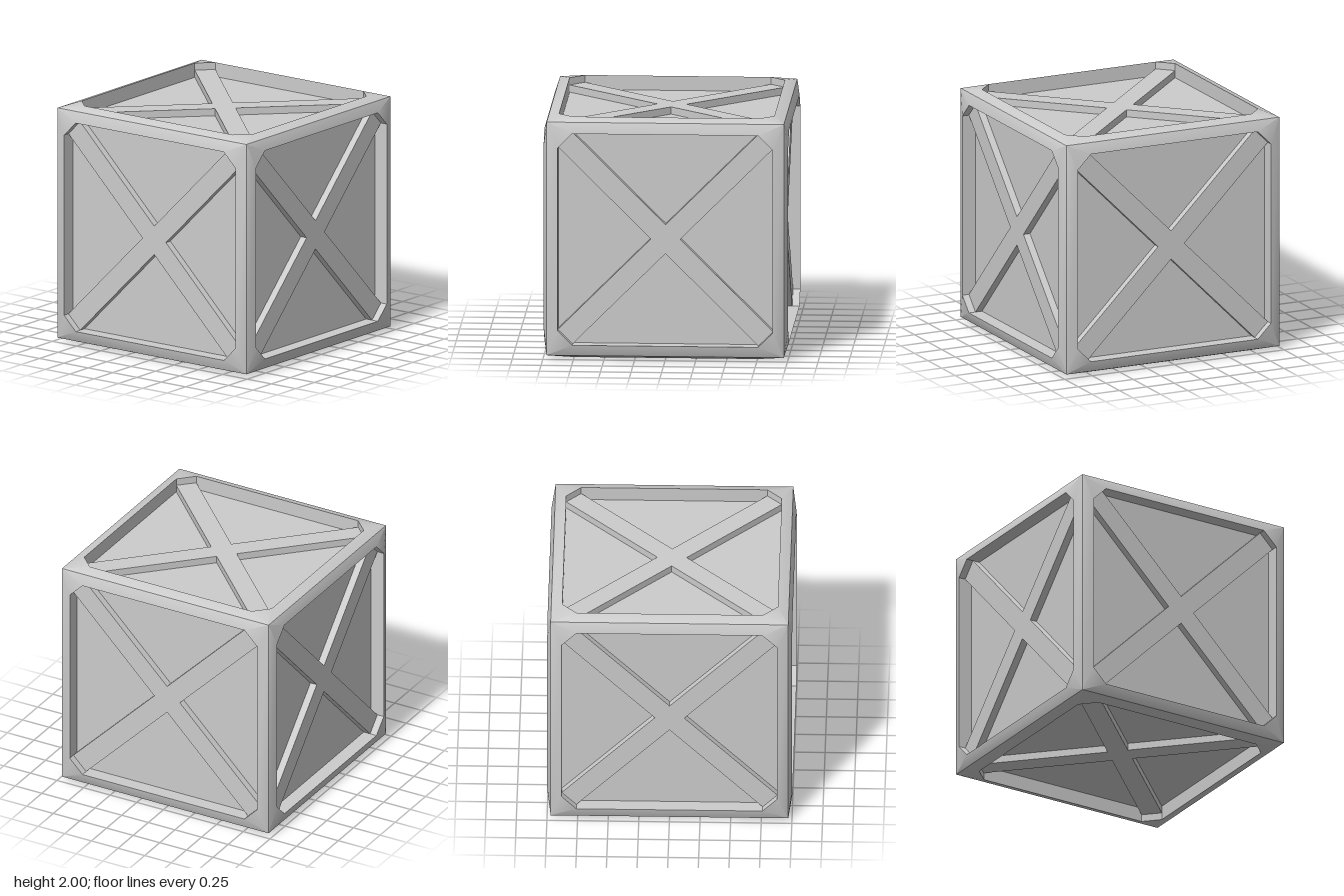
import * as THREE from 'three';
import { mergeGeometries, toCreasedNormals } from 'three/addons/utils/BufferGeometryUtils.js';

const EDGE = 0.97;   // cube corners
const RIM = 1.0;     // raised lip of each opening
const OPEN = 0.88;   // half size of the opening, also the panel depth
const CUT = 0.76;    // where the opening's chamfered corners begin
const BRACE = 0.94;  // outer surface of the cross braces
const NOTCH = 0.12;  // inner corners of the cross

// Quarter turns of a point about the face axis
function turn([x, y], k) {
  for (let i = 0; i < k % 4; i++) [x, y] = [-y, x];
  return [x, y];
}

// Unindexed geometry from quads and triangles
function fromFaces(faces) {
  const pos = [];
  for (const f of faces) {
    for (let i = 1; i < f.length - 1; i++) pos.push(...f[0], ...f[i], ...f[i + 1]);
  }
  const g = new THREE.BufferGeometry();
  g.setAttribute('position', new THREE.Float32BufferAttribute(pos, 3));
  g.computeVertexNormals();
  return g;
}

// Sloped border around one opening
function borderGeometry() {
  const faces = [];
  for (let k = 0; k < 4; k++) {
    const p = [...turn([OPEN, CUT], k), RIM];
    const q = [...turn([CUT, OPEN], k), RIM];
    const c = [...turn([EDGE, EDGE], k), EDGE];
    const cNext = [...turn([EDGE, EDGE], k + 1), EDGE];
    const pNext = [...turn([OPEN, CUT], k + 1), RIM];
    faces.push([p, c, q], [q, c, cNext, pNext]);
  }
  return fromFaces(faces);
}

// Inward-facing walls of one opening
function wallGeometry() {
  const ring = [];
  for (let k = 0; k < 4; k++) ring.push(turn([OPEN, CUT], k), turn([CUT, OPEN], k));
  return fromFaces(ring.map((a, i) => {
    const b = ring[(i + 1) % ring.length];
    return [[...a, RIM], [...b, RIM], [...b, OPEN], [...a, OPEN]];
  }));
}

// Diagonal cross with ends fitting the chamfered corners
function braceGeometry() {
  const pts = [];
  for (let k = 0; k < 4; k++) {
    for (const p of [[NOTCH, 0], [OPEN, CUT], [CUT, OPEN]]) {
      pts.push(new THREE.Vector2(...turn(p, k)));
    }
  }
  const g = new THREE.ExtrudeGeometry(new THREE.Shape(pts), { depth: BRACE - OPEN, bevelEnabled: false });
  return g.translate(0, 0, OPEN);
}

export function createModel() {
  const model = new THREE.Group();
  model.name = 'crate';
  const material = new THREE.MeshStandardMaterial({ color: 0xcccccc });

  // Rotations that carry the front face to all six sides
  const sides = {
    front: [0, 0], left: [0, Math.PI / 2], back: [0, Math.PI], right: [0, -Math.PI / 2],
    top: [-Math.PI / 2, 0], bottom: [Math.PI / 2, 0],
  };
  const borders = [];
  const wall = wallGeometry();
  const brace = braceGeometry();

  for (const [name, [rx, ry]] of Object.entries(sides)) {
    borders.push(borderGeometry().rotateX(rx).rotateY(ry));
    const side = new THREE.Group();
    side.name = name + 'Side';
    side.rotation.set(rx, ry, 0);
    const wallMesh = new THREE.Mesh(wall, material);
    wallMesh.name = 'recessWalls';
    const braceMesh = new THREE.Mesh(brace, material);
    braceMesh.name = 'crossBrace';
    side.add(wallMesh, braceMesh);
    model.add(side);
  }

  // Outer frame, softly shaded over the cube edges
  const frame = new THREE.Mesh(toCreasedNormals(mergeGeometries(borders), Math.PI / 3), material);
  frame.name = 'outerFrame';

  // Inner box forming the recessed panels
  const panels = new THREE.Mesh(new THREE.BoxGeometry(2 * OPEN, 2 * OPEN, 2 * OPEN), material);
  panels.name = 'recessedPanels';

  model.add(frame, panels);
  model.position.y = 1;
  return model;
}
